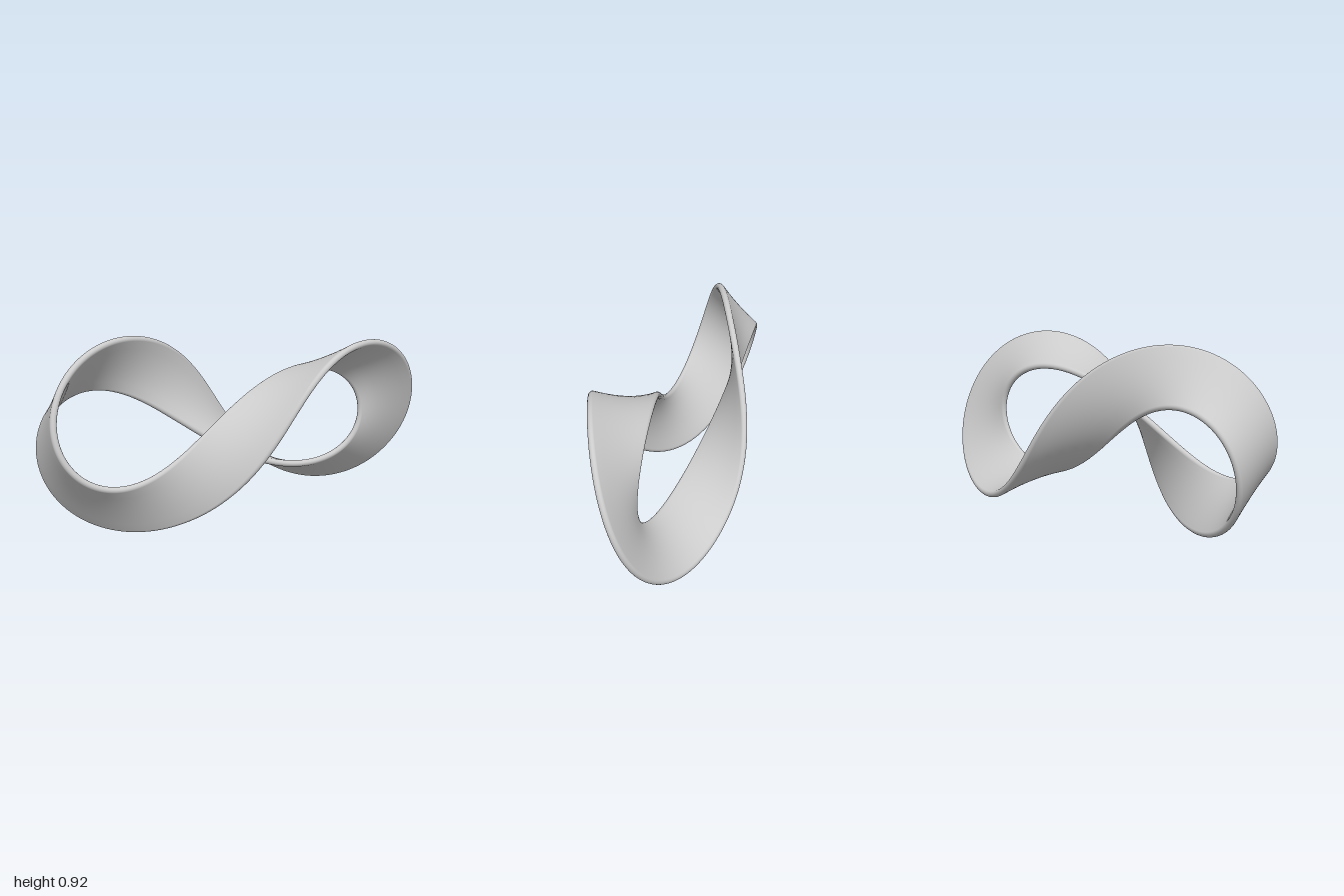
import * as THREE from 'three';

const SIZE = 0.91;        // half length of the figure eight
const DEPTH = 0.24;       // front-to-back swing of the path
const HALF_WIDTH = 0.156; // band half width, rounded rims included
const HALF_THICK = 0.017;
const RINGS = 480;
const CAP = 8;            // segments per rounded rim
const SIDE = 6;           // segments per flat face

// Closed figure-eight path whose two strands pass in front of and behind each other
class FigureEight extends THREE.Curve {
  getPoint(u, target = new THREE.Vector3()) {
    const s = Math.sin(u * Math.PI * 2), c = Math.cos(u * Math.PI * 2);
    const k = SIZE / (1 + s * s);
    return target.set(k * c, k * s * c, DEPTH * s);
  }
}

// Flat strip section with half-round rims, counter-clockwise
function bandSection() {
  const points = [];
  const flat = HALF_WIDTH - HALF_THICK;
  for (const sign of [1, -1]) {
    for (let i = 0; i <= CAP; i++) {
      const a = -Math.PI / 2 + (Math.PI * i) / CAP;
      points.push([sign * (flat + HALF_THICK * Math.cos(a)), sign * HALF_THICK * Math.sin(a)]);
    }
    for (let i = 1; i < SIDE; i++) {
      points.push([sign * flat * (1 - (2 * i) / SIDE), sign * HALF_THICK]);
    }
  }
  return points;
}

function twistedBand() {
  const curve = new FigureEight();
  curve.arcLengthDivisions = 2000;
  const section = bandSection();
  const m = section.length;
  const positions = [], indices = [];
  const v = new THREE.Vector3();

  for (let i = 0; i < RINGS; i++) {
    const u = i / RINGS;
    const t = curve.getUtoTmapping(u);
    const center = curve.getPoint(t);
    const tangent = curve.getPoint(t + 1e-4).sub(curve.getPoint(t - 1e-4)).normalize();
    const normal = new THREE.Vector3(tangent.y, -tangent.x, 0).normalize();
    const binormal = normal.clone().cross(tangent);

    // Three half twists spread evenly along the path
    const phi = 3 * Math.PI * u;
    const across = normal.multiplyScalar(Math.cos(phi)).addScaledVector(binormal, Math.sin(phi));
    const through = tangent.clone().cross(across);

    for (const [p, q] of section) {
      v.copy(center).addScaledVector(across, p).addScaledVector(through, q);
      positions.push(v.x, v.y, v.z);
    }

    // The last ring joins the first turned over by half a turn
    const last = i === RINGS - 1;
    const next = last ? 0 : (i + 1) * m;
    const shift = last ? m / 2 : 0;
    for (let j = 0; j < m; j++) {
      const k = (j + 1) % m;
      const a = i * m + j, b = i * m + k;
      const c = next + ((k + shift) % m), d = next + ((j + shift) % m);
      indices.push(a, b, c, a, c, d);
    }
  }

  const geometry = new THREE.BufferGeometry();
  geometry.setAttribute('position', new THREE.Float32BufferAttribute(positions, 3));
  geometry.setIndex(indices);
  geometry.computeVertexNormals();
  return geometry;
}

export function createModel() {
  const group = new THREE.Group();
  group.name = 'twistedFigureEight';
  const geometry = twistedBand();

  // Rest the band on the ground and centre it
  geometry.computeBoundingBox();
  const { min, max } = geometry.boundingBox;
  geometry.translate(-(min.x + max.x) / 2, -min.y, -(min.z + max.z) / 2);

  const band = new THREE.Mesh(geometry, new THREE.MeshStandardMaterial({ color: 0xcccccc }));
  band.name = 'twistedBand';
  group.add(band);
  return group;
}
